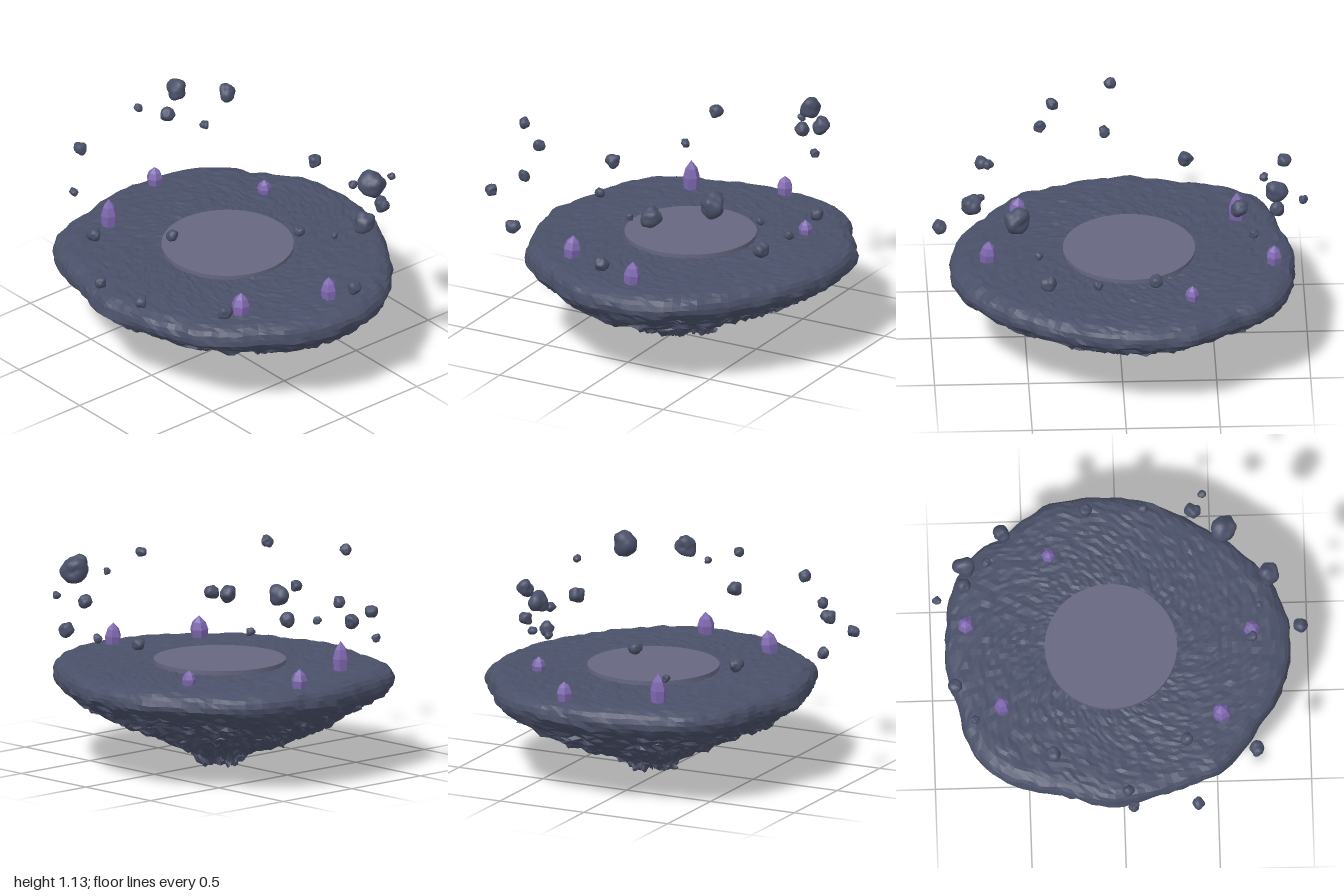
import * as THREE from 'three';
import { mergeVertices } from 'three/addons/utils/BufferGeometryUtils.js';

const CENTER = { x: -0.05, z: -0.07 };

// Rim radius every 10 degrees, from +x towards +z
const RIM = [0.952, 0.945, 0.92, 0.89, 0.892, 0.893, 0.862, 0.85, 0.848, 0.866, 0.85, 0.845,
  0.885, 0.92, 0.938, 0.905, 0.865, 0.875, 0.88, 0.885, 0.905, 0.925, 0.91, 0.865,
  0.88, 0.9, 0.887, 0.873, 0.872, 0.864, 0.858, 0.862, 0.89, 0.915, 0.942, 0.958];

// Island section: share of the rim radius, height
const SECTION = [[0, 0.04], [0.12, 0.03], [0.15, 0.07], [0.26, 0.128], [0.48, 0.215], [0.73, 0.315],
  [0.89, 0.39], [0.98, 0.445], [1, 0.48], [0.985, 0.525], [0.94, 0.55], [0.86, 0.56], [0.45, 0.564], [0, 0.564]];

// Crystals: x, z, tip height, radius, lean
const CRYSTALS = [[-0.815, -0.21, 0.66, 0.045, 0.03], [-0.637, 0.26, 0.72, 0.045, 0], [-0.367, -0.593, 0.64, 0.038, 0.02],
  [0.53, 0.33, 0.68, 0.05, -0.1], [0.705, -0.14, 0.68, 0.046, -0.06]];

// Floating rocks: x, y, z, radius
const ROCKS = [[-0.82, 1.08, -0.365, 0.056], [-0.62, 1.085, -0.545, 0.047], [-0.97, 0.95, -0.225, 0.024],
  [-0.885, 0.918, 0.253, 0.037], [-0.827, 0.943, -0.31, 0.042], [-0.7, 0.88, -0.457, 0.025],
  [-0.785, 0.743, 0.38, 0.024], [-0.375, 0.742, 0.585, 0.039], [-0.167, 0.777, -0.775, 0.036],
  [0.045, 0.745, 0.892, 0.031], [0.14, 0.763, -0.78, 0.025], [0.013, 1.03, 0.91, 0.031],
  [0.333, 1.067, 0.638, 0.034], [0.455, 0.953, -0.785, 0.023], [0.567, 1.042, -0.555, 0.068],
  [0.695, 1.035, 0.06, 0.031], [0.74, 0.953, -0.148, 0.02], [0.797, 1, -0.305, 0.06],
  [0.405, 0.768, -0.757, 0.043], [0.385, 0.78, 0.9, 0.033], [0.708, 0.743, 0.587, 0.04], [0.957, 0.75, -0.097, 0.038]];

// Smooth value noise in -1..1
function hash(x, y, z) {
  const s = Math.sin(x * 127.1 + y * 311.7 + z * 74.7) * 43758.5453;
  return (s - Math.floor(s)) * 2 - 1;
}
function noise(x, y, z) {
  const cell = [x, y, z].map(Math.floor);
  const f = [x, y, z].map((v, i) => THREE.MathUtils.smoothstep(v - cell[i], 0, 1));
  let sum = 0;
  for (let c = 0; c < 8; c++) {
    const b = [c & 1, (c >> 1) & 1, c >> 2];
    const weight = b.reduce((w, on, i) => w * (on ? f[i] : 1 - f[i]), 1);
    sum += weight * hash(cell[0] + b[0], cell[1] + b[1], cell[2] + b[2]);
  }
  return sum;
}

function rimRadius(x, z) {
  const t = ((Math.atan2(z, x) / (Math.PI * 2) + 1) % 1) * RIM.length;
  const i = Math.floor(t);
  return THREE.MathUtils.lerp(RIM[i % RIM.length], RIM[(i + 1) % RIM.length], THREE.MathUtils.smoothstep(t - i, 0, 1));
}

// Lathed section stretched to the rim outline, craggy with radial streaks below and nearly flat on top
function islandGeometry() {
  const curve = new THREE.SplineCurve(SECTION.map(([r, y]) => new THREE.Vector2(r, y)));
  const points = curve.getSpacedPoints(80);
  points.forEach((p) => { p.x = Math.max(p.x, 0); });
  points[0].x = points[points.length - 1].x = 0;
  let geometry = new THREE.LatheGeometry(points, 130);
  geometry.deleteAttribute('uv');
  geometry.deleteAttribute('normal');
  geometry = mergeVertices(geometry, 1e-5);
  const pos = geometry.attributes.position;
  for (let i = 0; i < pos.count; i++) {
    const x = pos.getX(i), y = pos.getY(i), z = pos.getZ(i);
    const r = Math.hypot(x, z);
    const dx = r > 0 ? x / r : 0, dz = r > 0 ? z / r : 0;
    const rough = 1 - THREE.MathUtils.smoothstep(y, 0.3, 0.52);
    // Ragged stub at the very bottom, deeper belly towards the left and right
    const stub = 1 - THREE.MathUtils.smoothstep(y, 0.05, 0.1);
    const belly = -0.035 * dx ** 4 * THREE.MathUtils.smoothstep(r, 0.15, 0.5);
    const streak = noise(dx * 13, r * 9, dz * 13) * 0.022;
    const crag = noise(x * 24, y * 24, z * 24) * 0.018 + hash(i, 1, 2) * 0.008;
    const grain = noise(x * 22, 3, z * 22) * 0.003 + hash(i, 5, 7) * 0.0045;
    const scale = rimRadius(x, z) + rough * (noise(x * 30, y * 30 + 9, z * 30) * 0.04 + hash(i, 3, 4) * 0.015)
      + stub * noise(dx * 5, y * 60, dz * 5) * 0.3 + (1 - rough) * noise(x * 14, y * 30, z * 14) * 0.01;
    const lift = rough * (streak + crag + belly) * Math.min(1, 0.5 + r * 2) + (1 - rough) * grain;
    pos.setXYZ(i, CENTER.x + x * scale, Math.max(0, y + lift), CENTER.z + z * scale);
  }
  geometry.computeVertexNormals();
  return geometry;
}

// Lumpy smooth boulder of unit size, different for each seed
function rockGeometry(seed) {
  let geometry = new THREE.IcosahedronGeometry(1, 5);
  geometry.deleteAttribute('uv');
  geometry.deleteAttribute('normal');
  geometry = mergeVertices(geometry);
  const pos = geometry.attributes.position;
  const p = new THREE.Vector3();
  for (let i = 0; i < pos.count; i++) {
    p.fromBufferAttribute(pos, i);
    const lump = 0.96 + 0.24 * noise(p.x * 1.3 + seed * 5.3, p.y * 1.3, p.z * 1.3)
      + 0.07 * noise(p.x * 2.5, p.y * 2.5 + seed * 3.1, p.z * 2.5);
    p.multiplyScalar(lump);
    pos.setXYZ(i, p.x, p.y, p.z);
  }
  geometry.computeVertexNormals();
  return geometry;
}

export function createModel() {
  const model = new THREE.Group();
  const stone = new THREE.MeshStandardMaterial({ color: 0x4a5068, flatShading: true });
  const boulder = new THREE.MeshStandardMaterial({ color: 0x4a5068 });
  const slab = new THREE.MeshStandardMaterial({ color: 0x666680 });
  const gem = new THREE.MeshStandardMaterial({ color: 0x7f69b0, flatShading: true });

  const add = (parent, name, geometry, material, x = 0, y = 0, z = 0) => {
    const mesh = new THREE.Mesh(geometry, material);
    mesh.name = name;
    mesh.position.set(x, y, z);
    parent.add(mesh);
    return mesh;
  };

  // Island and the round platform on it
  add(model, 'island', islandGeometry(), stone);
  add(model, 'platform', new THREE.CylinderGeometry(0.352, 0.352, 0.03, 64), slab, CENTER.x, 0.572, CENTER.z);

  // Six-sided crystals around the platform
  const crystals = new THREE.Group();
  crystals.name = 'crystals';
  const profile = [[0, 0], [0.85, 0], [1, 0.45], [0.72, 0.74], [0, 1]].map(([r, y]) => new THREE.Vector2(r, y));
  CRYSTALS.forEach(([x, z, tip, radius, lean], i) => {
    const crystal = add(crystals, 'crystal', new THREE.LatheGeometry(profile, 6), gem, x, 0.55, z);
    crystal.scale.set(radius, tip - 0.55, radius);
    crystal.rotation.set(0, i * 0.7, lean);
  });
  model.add(crystals);

  // Rocks floating above the island
  const rocks = new THREE.Group();
  rocks.name = 'floatingRocks';
  ROCKS.forEach(([x, y, z, radius], i) => {
    const rock = add(rocks, 'floatingRock', rockGeometry(i + 1), boulder, x, y, z);
    rock.scale.setScalar(radius);
  });
  model.add(rocks);

  return model;
}
